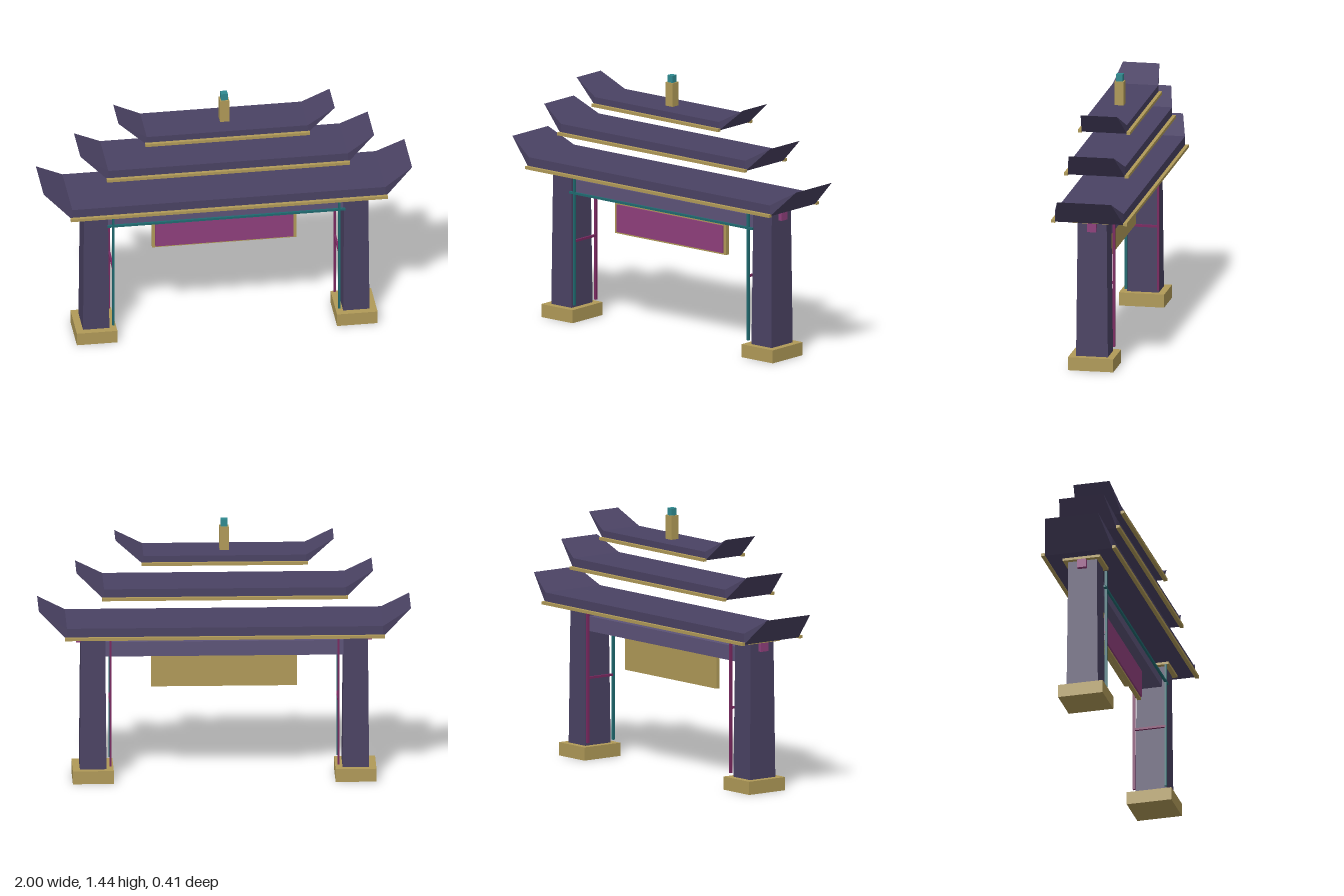
import * as THREE from 'three';

const material = (color) => new THREE.MeshStandardMaterial({ color, flatShading: true });

export function createModel() {
  const model = new THREE.Group();
  model.name = 'gateway';

  const purple = material(0x4a4263);
  const lightPurple = material(0x5c5378);
  const gold = material(0xb09a58);
  const magenta = material(0x8f3f7c);
  const teal = material(0x2f8a90);
  const darkTeal = material(0x1f6a70);
  const darkMagenta = material(0x7a2860);

  const add = (name, geometry, mat) => {
    const mesh = new THREE.Mesh(geometry, mat);
    mesh.name = name;
    model.add(mesh);
    return mesh;
  };

  // Box given by its min and max along each axis
  const box = (name, mat, [x0, x1], [y0, y1], [z0, z1]) => {
    const mesh = add(name, new THREE.BoxGeometry(x1 - x0, y1 - y0, z1 - z0), mat);
    mesh.position.set((x0 + x1) / 2, (y0 + y1) / 2, (z0 + z1) / 2);
    return mesh;
  };

  // Roof slab whose ends sweep up to narrower sharp edges
  const roofGeometry = ({ half, tip, bottom, top, tipY, depth, tipDepth }) => {
    const shape = new THREE.Shape([
      [-half, bottom], [half, bottom], [tip, tipY],
      [half, top], [-half, top], [-tip, tipY],
    ].map(([x, y]) => new THREE.Vector2(x, y)));
    const geometry = new THREE.ExtrudeGeometry(shape, { depth: 2 * depth, bevelEnabled: false });
    geometry.translate(0, 0, -depth);
    const p = geometry.attributes.position;
    for (let i = 0; i < p.count; i++) {
      if (Math.abs(p.getX(i)) > half + 0.01) p.setZ(i, Math.sign(p.getZ(i)) * tipDepth);
    }
    geometry.computeVertexNormals();
    return geometry;
  };

  const tiers = [
    { name: 'lowerRoof', half: 0.85, tip: 1.0, bottom: 0.83, top: 0.89, tipY: 0.977, depth: 0.188, tipDepth: 0.148 },
    { name: 'middleRoof', half: 0.65, tip: 0.797, bottom: 1.043, top: 1.1, tipY: 1.182, depth: 0.157, tipDepth: 0.123 },
    { name: 'upperRoof', half: 0.437, tip: 0.587, bottom: 1.228, top: 1.275, tipY: 1.357, depth: 0.124, tipDepth: 0.1 },
  ];
  for (const t of tiers) {
    add(t.name, roofGeometry(t), purple);
    // Eave trims along the front and back
    for (const s of [-1, 1]) {
      const z = s * (t.depth + 0.009);
      box(t.name + 'Trim', gold, [-t.half - 0.01, t.half + 0.01],
        [t.bottom - 0.004, t.bottom + 0.012], [z - 0.01, z + 0.01]);
    }
  }

  // Finial
  box('finialPost', gold, [-0.025, 0.025], [1.26, 1.405], [-0.025, 0.025]);
  box('finialCap', teal, [-0.018, 0.018], [1.405, 1.444], [-0.018, 0.018]);

  // Pillars and everything mirrored with them
  for (const s of [-1, 1]) {
    const x = s * 0.706;
    box('pillarBase', gold, [x - 0.11, x + 0.11], [0, 0.072], [-0.124, 0.124]);

    const shaft = new THREE.CylinderGeometry(0.065 * Math.SQRT2, 0.072 * Math.SQRT2, 0.813, 4);
    shaft.rotateY(Math.PI / 4);
    shaft.scale(1, 1, 1.22);
    add('pillar', shaft, purple).position.set(x, 0.4085, 0);

    box('pillarCapital', gold, [x - 0.09, x + 0.09], [0.814, 0.828], [-0.104, 0.104]);

    const outer = s * 0.77, inner = s * 0.525;
    box('outerBracket', magenta, [outer - 0.025, outer + 0.025], [0.766, 0.815], [-0.025, 0.025]);
    box('innerBracket', teal, [inner - 0.025, inner + 0.025], [0.774, 0.83], [-0.025, 0.025]);

    // Light strips beside the pillar, joined by a crossbar
    const strip = [s * 0.613 - 0.006, s * 0.613 + 0.006];
    box('frontStrip', darkTeal, strip, [0.09, 0.81], [0.082, 0.094]);
    box('backStrip', darkMagenta, strip, [0.09, 0.81], [-0.094, -0.082]);
    box('stripCrossbar', darkMagenta, strip, [0.439, 0.451], [-0.088, 0.088]);
  }

  // Lintel with its front strip
  box('lintel', lightPurple, [-0.65, 0.65], [0.695, 0.776], [-0.06, 0.06]);
  box('lintelStrip', darkTeal, [-0.645, 0.645], [0.704, 0.716], [0.082, 0.094]);

  // Sign board
  box('signBacking', gold, [-0.392, 0.392], [0.511, 0.683], [-0.01, 0.012]);
  box('signPanel', magenta, [-0.375, 0.375], [0.521, 0.672], [0.005, 0.021]);

  return model;
}
